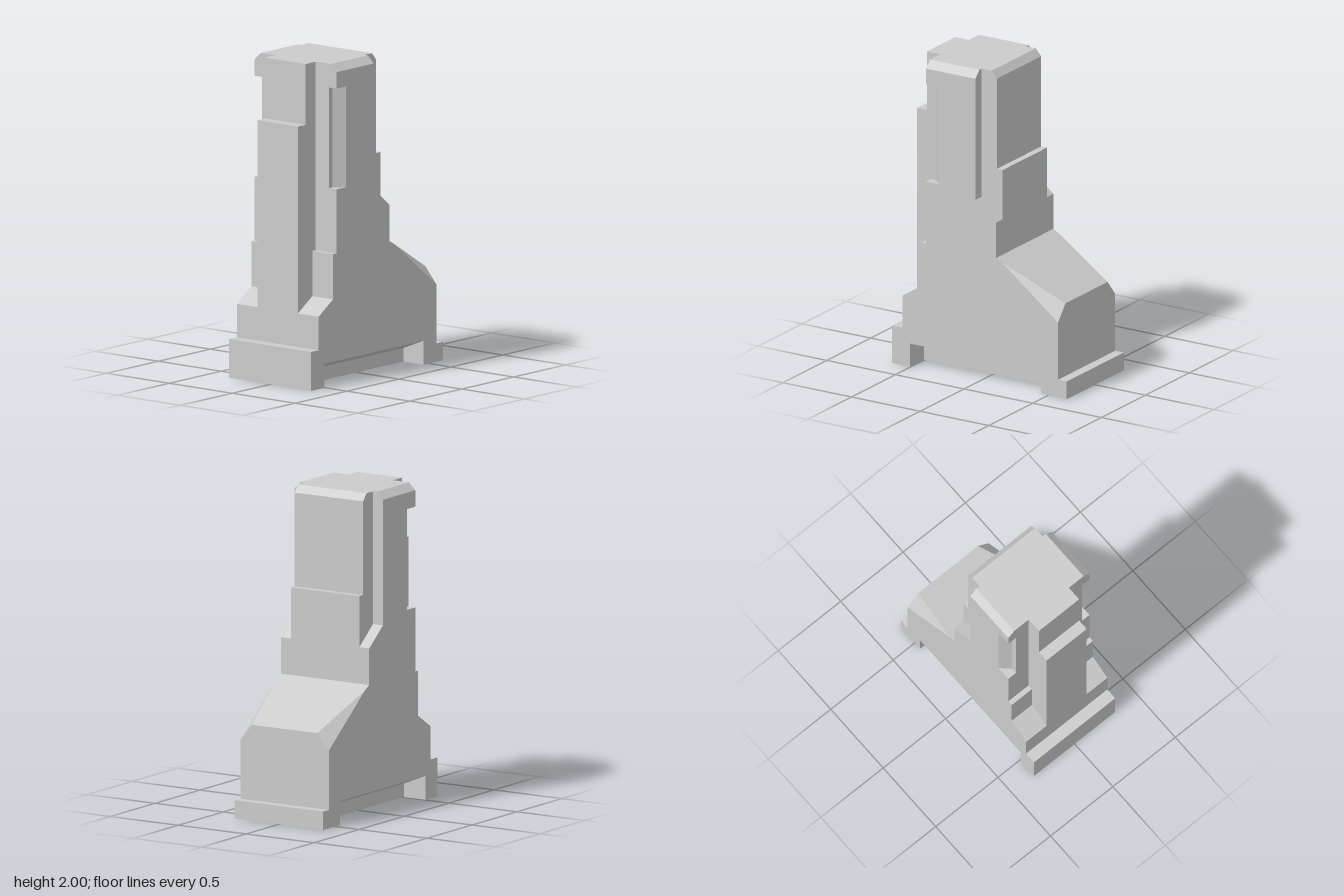
import * as THREE from 'three';
import { ConvexGeometry } from 'three/addons/geometries/ConvexGeometry.js';

const HALF = 0.325; // half of the full thickness

export function createModel() {
  const model = new THREE.Group();
  model.name = 'steppedBlock';
  const material = new THREE.MeshStandardMaterial({ color: 0xcccccc, flatShading: true });

  const add = (name, geometry) => {
    const mesh = new THREE.Mesh(geometry, material);
    mesh.name = name;
    model.add(mesh);
  };

  // Extrude an outline from a to b along its own normal (z)
  const prism = (points, a, b) => {
    const shape = new THREE.Shape(points.map(([x, y]) => new THREE.Vector2(x, y)));
    return new THREE.ExtrudeGeometry(shape, { depth: b - a, bevelEnabled: false }).translate(0, 0, a);
  };
  // Complete half an outline by mirroring it across an axis
  const mirrorX = (half) => [...half, ...half.map(([x, y]) => [-x, y]).reverse()];
  const mirrorY = (half) => [...half, ...half.map(([x, y]) => [x, -y]).reverse()];

  // Main body: foot flanges, slot opening, sloped shoulder and lower tower
  add('body', prism([
    [-0.635, 0], [-0.505, 0], [-0.505, 0.15], [0.45, 0.15], [0.45, 0], [0.635, 0],
    [0.635, 0.115], [0.572, 0.115], [0.572, 0.485], [0.2, 0.69], [0.17, 0.796], [0.122, 0.822],
    [0.122, 1.05], [-0.03, 1.17], [-0.03, 1.222], [-0.39, 1.222],
    [-0.39, 0.822], [-0.422, 0.822], [-0.422, 0.54], [-0.56, 0.452],
    [-0.56, 0.243], [-0.635, 0.243],
  ], -HALF, HALF));

  // Web between the two undercut slots of the foot
  add('footWeb', prism(mirrorX([[0.165, 0], [0.165, 0.085], [HALF, 0.15]]), -0.505, 0.45)
    .rotateY(Math.PI / 2));

  // Shoulder ramp with bevelled sides
  const ramp = [];
  for (const s of [-1, 1]) {
    for (const [x, y, z] of [
      [0.17, 0.796, HALF], [0.2, 0.69, HALF], [0.572, 0.485, HALF],
      [0.235, 0.762, 0.24], [0.572, 0.586, 0.24],
    ]) ramp.push(new THREE.Vector3(x, y, z * s));
  }
  add('shoulderRamp', new ConvexGeometry(ramp));

  // Upper tower with a grip recess at each rear corner
  add('towerGrip', prism(mirrorY([
    [-0.39, 0.265], [-0.353, 0.265], [-0.297, HALF], [-0.03, HALF],
  ]), 1.222, 1.852).rotateX(-Math.PI / 2));

  // Tower cap with chamfered long edges
  add('towerCap', prism(mirrorX([[HALF, 1.852], [HALF, 1.955], [0.278, 2]]), -0.39, -0.03)
    .rotateY(Math.PI / 2));

  // Narrower stepped spine on the right of the tower
  add('steppedSpine', prism([
    [-0.03, 1.17], [0.122, 1.05], [0.122, 1.37], [0.08, 1.37],
    [0.08, 1.955], [0.042, 2], [-0.03, 2],
  ], -0.252, 0.252));

  // Narrow rail on the left of the tower
  add('sideRail', prism([
    [-0.56, 0.452], [-0.422, 0.54], [-0.422, 0.822], [-0.39, 0.822],
    [-0.39, 2], [-0.488, 2], [-0.488, 1.62], [-0.56, 1.62],
  ], -0.162, 0.16));

  return model;
}
